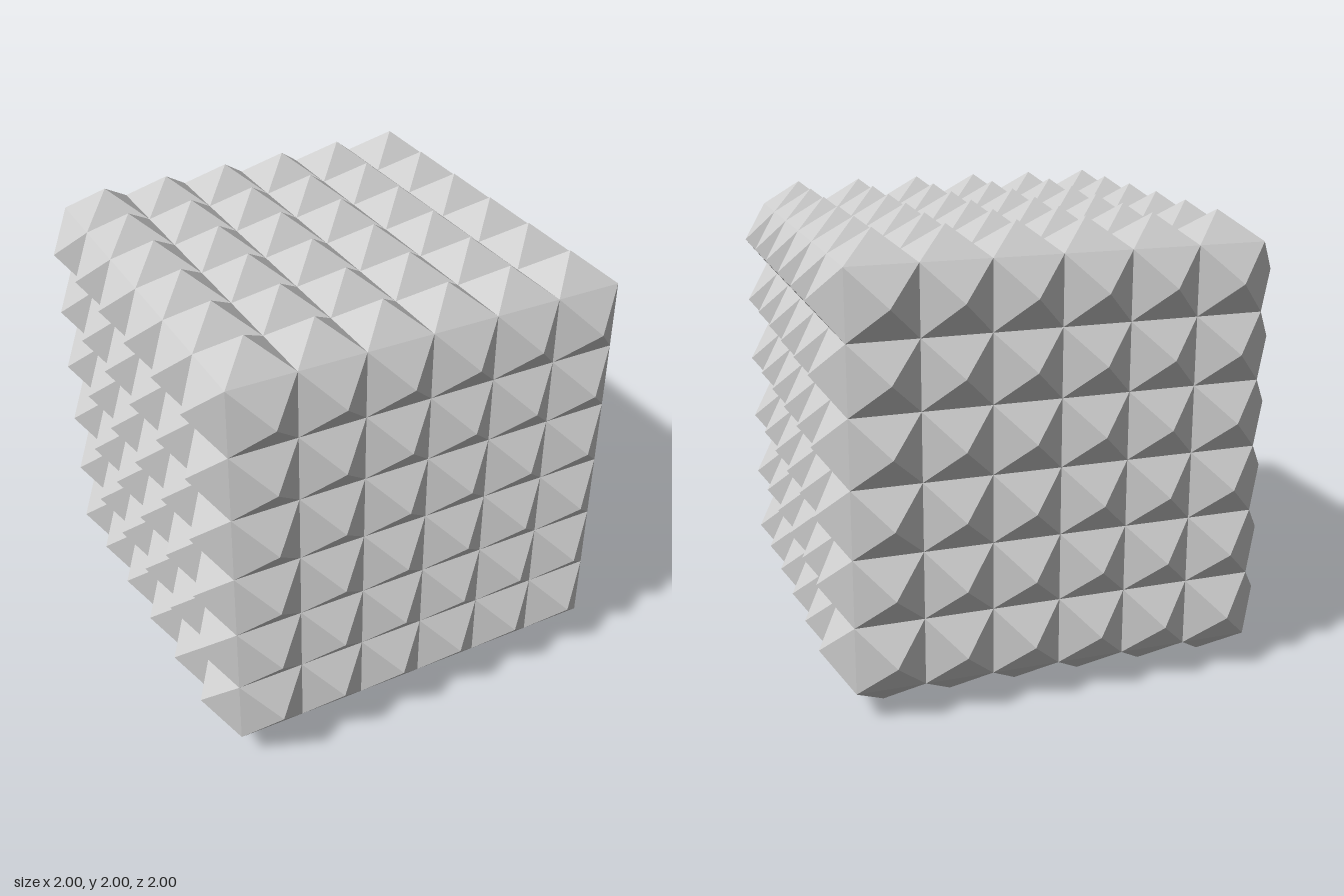
import * as THREE from 'three';

const COUNT = 6;          // studs along each edge
const HALF = 0.88;        // half width of the cube under the studs
const HEIGHT = 0.12;      // stud height
const CELL = (2 * HALF) / COUNT;

export function createModel() {
  const model = new THREE.Group();
  model.name = 'studdedCube';
  const material = new THREE.MeshStandardMaterial({ color: 0xcccccc, flatShading: true });

  // Square pyramid stud, base at y = 0, sides along x and z
  const stud = new THREE.ConeGeometry(CELL / Math.SQRT2, HEIGHT, 4, 1, true);
  stud.rotateY(Math.PI / 4);
  stud.translate(0, HEIGHT / 2, 0);

  // One square grid of studs for each side of the cube
  const sides = {
    top: [0, 0, 0],
    bottom: [Math.PI, 0, 0],
    front: [Math.PI / 2, 0, 0],
    back: [-Math.PI / 2, 0, 0],
    left: [0, 0, -Math.PI / 2],
    right: [0, 0, Math.PI / 2],
  };
  for (const [name, rotation] of Object.entries(sides)) {
    const side = new THREE.Group();
    side.name = name + 'Studs';
    for (let i = 0; i < COUNT; i++) {
      for (let j = 0; j < COUNT; j++) {
        const mesh = new THREE.Mesh(stud, material);
        mesh.name = 'stud';
        mesh.position.set((i + 0.5) * CELL - HALF, HALF, (j + 0.5) * CELL - HALF);
        side.add(mesh);
      }
    }
    side.rotation.set(...rotation);
    side.position.y = HALF + HEIGHT;
    model.add(side);
  }
  return model;
}
